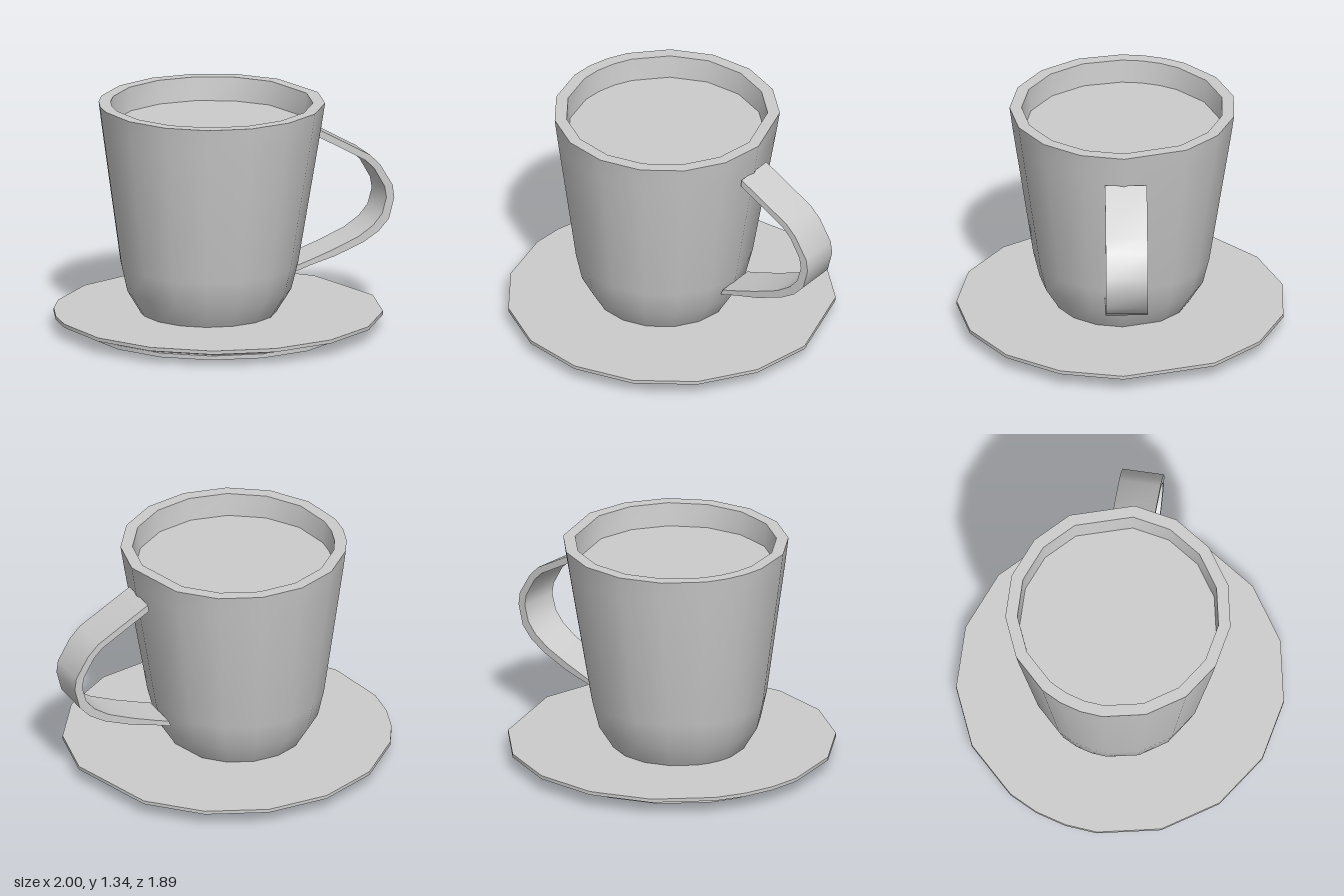
import * as THREE from 'three';
import { toCreasedNormals } from 'three/addons/utils/BufferGeometryUtils.js';

// Uneven facet angles in steps of 11.25 degrees, shared by cup and saucer
const ANGLES = [0, 2, 4, 6, 8, 10, 12, 14, 16, 17, 18, 19, 21, 23, 25, 27, 29]
  .map((k) => (k * Math.PI) / 16);

// Loft of rings [radius, y, centreX, centreZ], listed from the bottom outside upward
function loft(rings) {
  const n = ANGLES.length, pos = [];
  const point = ([r, y, cx, cz], i) => [cx + r * Math.cos(ANGLES[i % n]), y, cz + r * Math.sin(ANGLES[i % n])];
  for (let k = 0; k < rings.length - 1; k++) {
    const lo = rings[k], hi = rings[k + 1];
    for (let i = 0; i < n; i++) {
      const a = point(lo, i), b = point(lo, i + 1), c = point(hi, i), d = point(hi, i + 1);
      if (lo[0] > 0) pos.push(...a, ...c, ...b);
      if (hi[0] > 0) pos.push(...b, ...c, ...d);
    }
  }
  const geo = new THREE.BufferGeometry();
  geo.setAttribute('position', new THREE.Float32BufferAttribute(pos, 3));
  return toCreasedNormals(geo, 0.68);
}

export function createModel() {
  const group = new THREE.Group();
  const ceramic = new THREE.MeshStandardMaterial({ color: 0xcccccc });
  ceramic.name = 'ceramic grey';
  const add = (name, geo) => {
    const mesh = new THREE.Mesh(geo, ceramic);
    mesh.name = name;
    group.add(mesh);
  };

  // Saucer: short foot, flared underside, thin rim and flat top
  add('saucerFoot', loft([[0, 0], [0.775, 0], [0.775, 0.025], [0, 0.025]].map(([r, y]) => [r, y, -0.065, -0.002])));
  add('saucer', loft([[0, 0.02], [0.755, 0.02], [0.9525, 0.077], [0.9525, 0.098], [0, 0.098]]
    .map(([r, y]) => [r, y, -0.0475, -0.007])));

  // Cup body leans very slightly, with a flat rim and short inner wall
  const lean = ([r, y]) => [r, y, -0.109 + 0.018 * y, -0.01 - 0.004 * y];
  add('cup', loft([
    [0.39, 0.09], [0.476, 0.23], [0.514, 0.39], [0.636, 1.2], [0.655, 1.338],
    [0.585, 1.338], [0.57, 1.19],
  ].map(lean)));

  // Drink surface inside the cup
  add('drink', loft([[0.573, 1.2], [0, 1.2]].map(lean)));

  // Handle: curved flat strip
  const outer = [[0.53, 1.147], [0.85, 0.965], [0.914, 0.9], [0.99, 0.772], [1, 0.697], [0.968, 0.574],
    [0.904, 0.504], [0.807, 0.445], [0.636, 0.38], [0.48, 0.338], [0.38, 0.306]];
  const inner = [[0.524, 1.105], [0.824, 0.933], [0.877, 0.88], [0.941, 0.767], [0.952, 0.702], [0.925, 0.606],
    [0.87, 0.542], [0.78, 0.483], [0.62, 0.418], [0.48, 0.37], [0.395, 0.343]];
  const outline = [...outer, ...inner.reverse()].map(([x, y]) => new THREE.Vector2(x, y));
  const strip = new THREE.ExtrudeGeometry(new THREE.Shape(outline), { depth: 0.243, bevelEnabled: false });
  strip.translate(0, 0, -0.148);
  add('handle', toCreasedNormals(strip, 0.68));

  return group;
}
